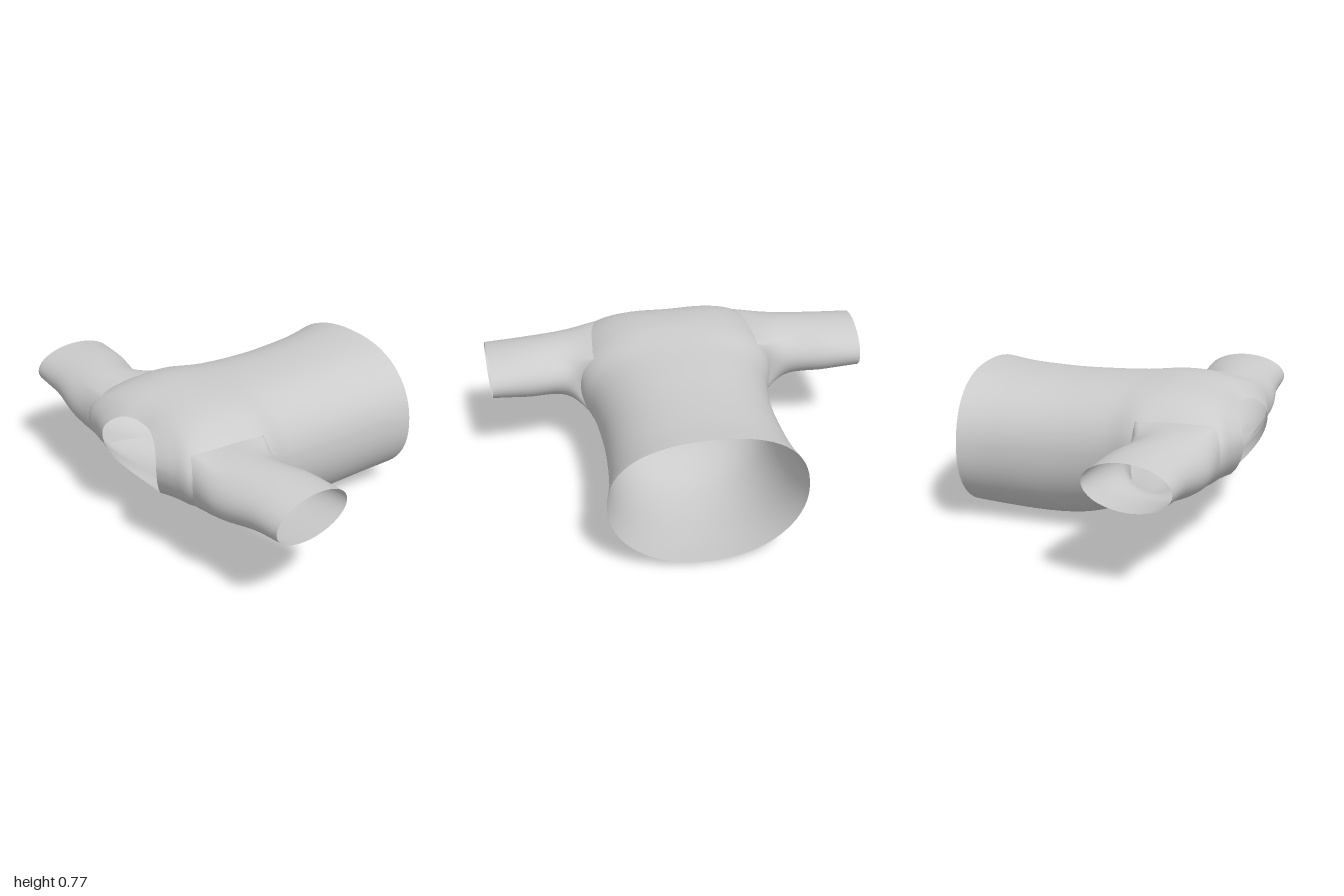
import * as THREE from 'three';

const COLS = 64, SUB = 6;       // points round the torso, rows per station
const ARM = 6;                  // half-height of an armhole in columns
const ARM_START = 5, ARM_END = 8; // stations where the armhole begins and ends

// Torso stations from hem to neckline:
// half width, bottom y, middle y, top y, then z at the bottom, side and top, and roundness
const STATIONS = [
  [0.485, 0.02, 0.40, 0.76, -0.70, -0.69, -0.73, 0.88],
  [0.455, 0.005, 0.40, 0.745, -0.54, -0.54, -0.55, 0.88],
  [0.437, 0.00, 0.40, 0.742, -0.30, -0.30, -0.30, 0.88],
  [0.437, 0.025, 0.41, 0.75, -0.10, -0.10, -0.10, 0.88],
  [0.46, 0.09, 0.44, 0.76, 0.09, 0.10, 0.09, 0.88],
  [0.505, 0.125, 0.48, 0.772, 0.21, 0.25, 0.22, 0.88],
  [0.50, 0.165, 0.50, 0.778, 0.30, 0.39, 0.33, 0.88],
  [0.485, 0.21, 0.52, 0.77, 0.38, 0.55, 0.44, 0.9],
  [0.44, 0.255, 0.53, 0.75, 0.47, 0.665, 0.53, 0.92],
  [0.33, 0.285, 0.54, 0.722, 0.54, 0.695, 0.59, 0.95],
  [0.23, 0.305, 0.54, 0.685, 0.60, 0.72, 0.64, 1],
];
const ROWS = (STATIONS.length - 1) * SUB;

// Catmull-Rom blend of the stations at a given row
function stationAt(row) {
  const i = Math.min(Math.floor(row / SUB), STATIONS.length - 2);
  const t = row / SUB - i;
  const at = (k) => STATIONS[Math.max(0, Math.min(STATIONS.length - 1, k))];
  return STATIONS[0].map((_, c) => {
    const [p, q, r, s] = [at(i - 1)[c], at(i)[c], at(i + 1)[c], at(i + 2)[c]];
    return q + 0.5 * t * (r - p + t * (2 * p - 5 * q + 4 * r - s + t * (3 * (q - r) + s - p)));
  });
}

function torsoPoint(row, col) {
  const [a, yB, yM, yT, zB, zS, zT, e] = stationAt(row);
  const angle = (col / COLS) * Math.PI * 2;
  const c = Math.cos(angle), s = Math.sin(angle);
  const pw = (v, k) => Math.sign(v) * Math.pow(Math.abs(v), k);
  const k = s > 0 ? e : 0.97;
  const h = s > 0 ? yT - yM : yM - yB;
  const dip = s > 0 ? 0.012 * Math.pow(s, 16) * (row / ROWS) : 0;
  const z = zS + ((s > 0 ? zT : zB) - zS) * s * s;
  return new THREE.Vector3(0.012 + a * pw(c, k), yM + h * pw(s, k) - dip, z);
}

// Skin over closed rings of points; skip(row, col) leaves a cell open
function skin(rings, flip, skip = () => false) {
  const n = rings[0].length, index = [];
  for (let i = 0; i < rings.length - 1; i++) {
    for (let j = 0; j < n; j++) {
      if (skip(i, j)) continue;
      const a = i * n + j, b = i * n + ((j + 1) % n), c = a + n, d = b + n;
      if (flip) index.push(a, c, b, b, c, d);
      else index.push(a, b, c, b, d, c);
    }
  }
  const g = new THREE.BufferGeometry().setFromPoints(rings.flat());
  g.setIndex(index);
  g.computeVertexNormals();
  return g;
}

// Torso with an open block of cells on each side for the armholes
function torsoGeometry() {
  const rings = [];
  for (let i = 0; i <= ROWS; i++) {
    rings.push(Array.from({ length: COLS }, (_, j) => torsoPoint(i, j)));
  }
  const inArm = (i, j) => {
    if (i < ARM_START * SUB || i >= ARM_END * SUB) return false;
    const half = COLS / 2;
    const near = (centre) => ((j - centre + half + COLS) % COLS) - half;
    return [0, half].some((m) => near(m) >= -ARM && near(m) < ARM);
  };
  return skin(rings, false, inArm);
}

// Sleeve growing from the rim of its armhole out to an oval cuff
function sleeveGeometry(side) {
  const r0 = ARM_START * SUB, r1 = ARM_END * SUB;
  const mid = side > 0 ? 0 : COLS / 2;
  const rim = [];
  for (let c = -ARM; c < ARM; c++) rim.push([r0, c]);
  for (let r = r0; r < r1; r++) rim.push([r, ARM]);
  for (let c = ARM; c > -ARM; c--) rim.push([r1, c]);
  for (let r = r1; r > r0; r--) rim.push([r, -ARM]);

  const lanes = rim.map(([r, c]) => {
    const root = torsoPoint(r, mid + side * c);
    const angle = Math.atan2(c / ARM, (2 * (r - r0)) / (r1 - r0) - 1);
    const oval = (x, y, z, h, w, lean) => new THREE.Vector3(
      side * (x + lean * Math.cos(angle)),
      y + h * Math.sin(angle), z + w * Math.cos(angle));
    return new THREE.CatmullRomCurve3([
      root,
      oval(0.59, 0.516, 0.453, 0.155, 0.212, 0.005),
      oval(0.80, 0.535, 0.418, 0.133, 0.212, 0.01),
      oval(0.985, 0.543, 0.407, 0.113, 0.216, 0.013),
    ]);
  });
  const rings = [];
  for (let i = 0; i <= 18; i++) rings.push(lanes.map((l) => l.getPoint(i / 18)));
  return skin(rings, side > 0);
}

export function createModel() {
  const group = new THREE.Group();
  group.name = 'shirt';
  const cloth = new THREE.MeshStandardMaterial({ color: 0xcccccc, side: THREE.DoubleSide });
  const add = (name, geometry) => {
    const mesh = new THREE.Mesh(geometry, cloth);
    mesh.name = name;
    group.add(mesh);
  };
  add('torso', torsoGeometry());
  add('leftSleeve', sleeveGeometry(1));
  add('rightSleeve', sleeveGeometry(-1));
  return group;
}
